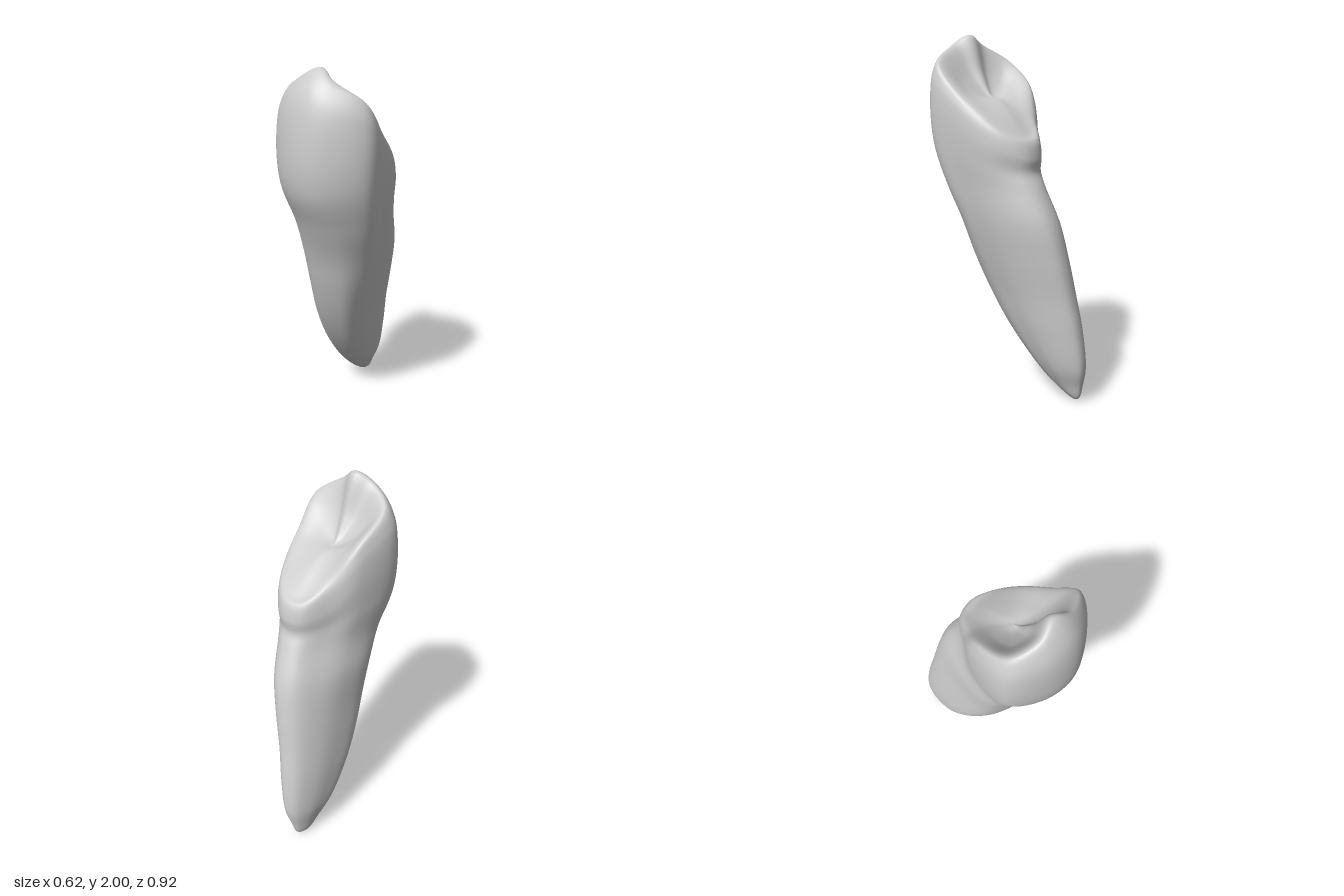
import * as THREE from 'three';

// Root sections: height, xMin, xMax, zMin, zMax
const ROOT = [
  [0.02, 0.09, 0.16, -0.425, -0.36],
  [0.1, 0.03, 0.19, -0.445, -0.25],
  [0.2, -0.03, 0.225, -0.46, -0.15],
  [0.4, -0.1, 0.25, -0.44, 0.01],
  [0.6, -0.14, 0.265, -0.4, 0.13],
  [0.8, -0.165, 0.29, -0.36, 0.22],
  [1.0, -0.195, 0.31, -0.31, 0.29],
  [1.19, -0.23, 0.302, -0.225, 0.37],
];
const CROWN = [-0.313, 0.31, -0.2, 0.46];

// One row per meridian: crown outline x, z; root outline x, z (both -1..1);
// height of the widest point, then inset and height of the biting rim
const MERIDIANS = [
  [-1, -0.03, -1, 0.28, 1.62, 0.78, 1.87],
  [-0.5, -0.61, -0.64, -0.26, 1.55, 0.85, 1.73],
  [0, -0.83, -0.16, -0.72, 1.4, 0.8, 1.57],
  [0.48, -0.99, 0.42, -1, 1.34, 0.78, 1.47],
  [0.8, -0.86, 0.86, -0.9, 1.34, 0.8, 1.46],
  [0.97, -0.5, 1, -0.45, 1.38, 0.85, 1.5],
  [0.98, -0.08, 0.93, 0.03, 1.44, 0.86, 1.58],
  [0.83, 0.42, 0.7, 0.42, 1.55, 0.88, 1.69],
  [0.6, 0.86, 0.4, 0.77, 1.64, 0.87, 1.84],
  [0, 1, -0.05, 1, 1.6, 0.7, 1.94],
  [-0.44, 0.91, -0.52, 0.9, 1.6, 0.54, 2.0],
  [-0.83, 0.53, -0.9, 0.65, 1.6, 0.68, 1.95],
];
const BASIN = new THREE.Vector3(0.03, 1.65, 0.1);
const APEX = new THREE.Vector3(0.13, 0, -0.4);
const lerp = THREE.MathUtils.lerp;

// Place a -1..1 outline point inside a rectangle
const place = (nx, nz, y, [x0, x1, z0, z1]) =>
  new THREE.Vector3(lerp(x0, x1, (nx + 1) / 2), y, lerp(z0, z1, (nz + 1) / 2));

// Curve from the root apex, up the side, over the rim and into the basin
function meridian([cx, cz, rx, rz, yWide, inset, yRim]) {
  const points = [APEX.clone()];
  for (const [y, ...box] of ROOT) {
    const k = THREE.MathUtils.smoothstep(y, 0.6, 1.45);
    points.push(place(lerp(rx, cx, k), lerp(rz, cz, k), y, box));
  }
  const wide = place(cx, cz, 0, CROWN);
  const at = (s, y) =>
    points.push(new THREE.Vector3(lerp(BASIN.x, wide.x, s), y, lerp(BASIN.z, wide.z, s)));
  at(1 - 0.11 * (yWide - 1.2), lerp(1.2, yWide, 0.47));
  at(1, yWide);
  at(1 - (1 - inset) * 0.33, lerp(yWide, yRim, 0.72));
  at(inset, yRim);
  at(inset * 0.55, lerp(yRim, BASIN.y, 0.6));
  at(inset * 0.2, lerp(yRim, BASIN.y, 0.93));
  points.push(BASIN.clone());
  return new THREE.CatmullRomCurve3(points);
}

function toothGeometry(rings = 120, sides = 72) {
  const curves = MERIDIANS.map(meridian);
  const position = [APEX.x, APEX.y, APEX.z];
  const index = [];
  for (let i = 1; i < rings; i++) {
    const loop = new THREE.CatmullRomCurve3(curves.map((c) => c.getPoint(i / rings)), true);
    for (let j = 0; j < sides; j++) position.push(...loop.getPoint(j / sides).toArray());
  }
  position.push(BASIN.x, BASIN.y, BASIN.z);
  const last = position.length / 3 - 1;
  const id = (i, j) => 1 + (i - 1) * sides + (j % sides);
  for (let j = 0; j < sides; j++) {
    index.push(0, id(1, j), id(1, j + 1));
    for (let i = 1; i < rings - 1; i++) {
      const a = id(i, j), b = id(i, j + 1), c = id(i + 1, j), d = id(i + 1, j + 1);
      index.push(a, c, b, b, c, d);
    }
    index.push(id(rings - 1, j), last, id(rings - 1, j + 1));
  }
  const geometry = new THREE.BufferGeometry();
  geometry.setAttribute('position', new THREE.Float32BufferAttribute(position, 3));
  geometry.setIndex(index);
  geometry.computeVertexNormals();
  return geometry;
}

export function createModel() {
  const group = new THREE.Group();
  group.name = 'tooth';
  const tooth = new THREE.Mesh(
    toothGeometry(),
    new THREE.MeshStandardMaterial({ color: 0xcccccc })
  );
  tooth.name = 'crownAndRoot';
  group.add(tooth);
  return group;
}
